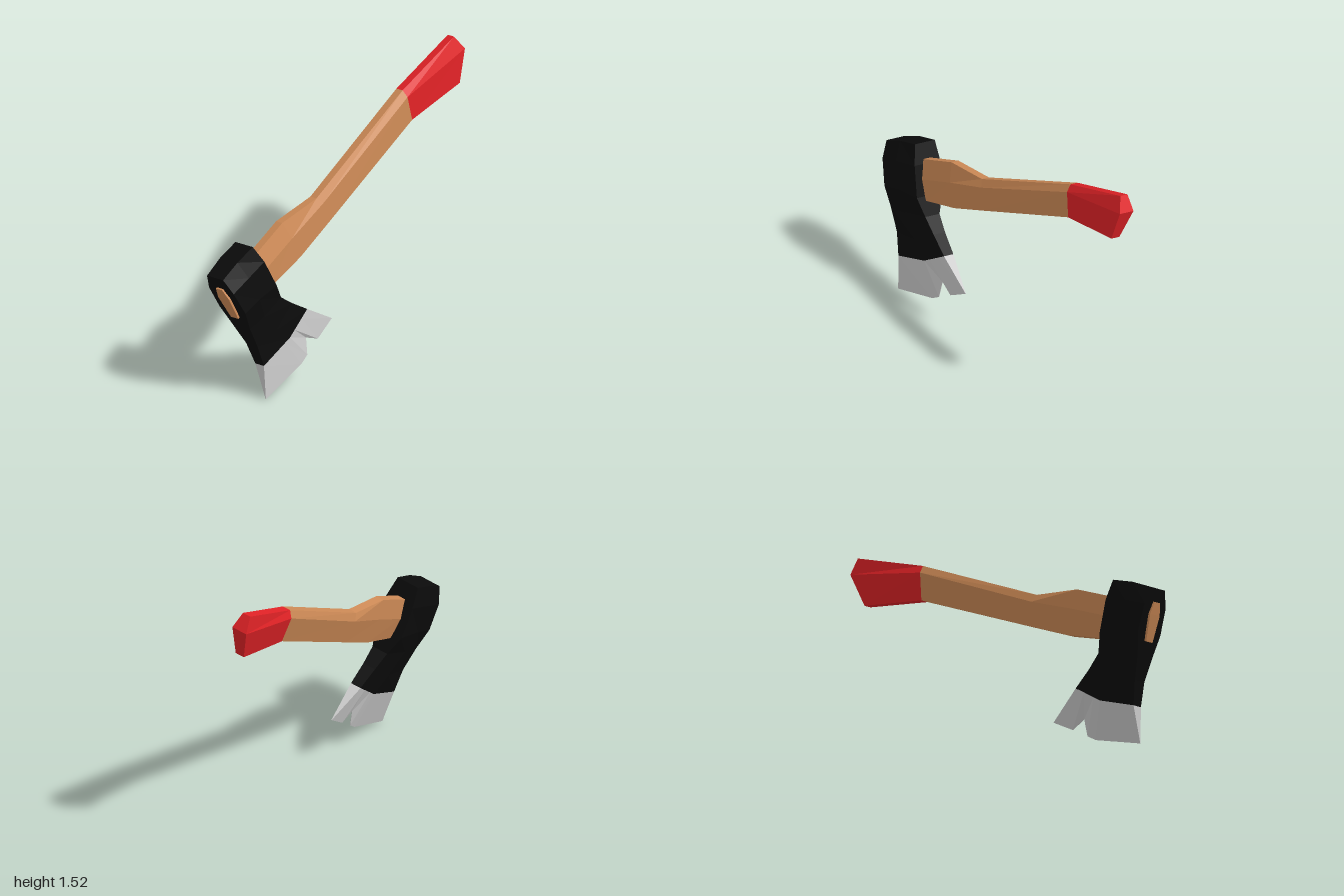
import * as THREE from 'three';

// The tool is laid out flat (x, y, half thickness), then leaned into its resting plane.
const LEAN = new THREE.Matrix4().makeBasis(
  new THREE.Vector3(1, 0, -0.174),
  new THREE.Vector3(0, 1, -0.195),
  new THREE.Vector3(0.174, 0.195, 1).normalize()
).setPosition(0, 0, 0.185);

// Skins stations of columns [x, y, halfThickness] into a closed faceted solid.
function loft(stations) {
  const rings = stations.map(cols => [
    ...cols.map(([x, y, h]) => [x, y, h]),
    ...cols.map(([x, y, h]) => [x, y, -h]).reverse(),
  ]);
  const pos = [];
  const quad = (a, b, c, d) => pos.push(...a, ...b, ...c, ...a, ...c, ...d);
  const n = rings[0].length;
  for (let s = 0; s < rings.length - 1; s++) {
    for (let i = 0; i < n; i++) {
      const j = (i + 1) % n;
      quad(rings[s][i], rings[s + 1][i], rings[s + 1][j], rings[s][j]);
    }
  }
  const first = rings[0], last = rings[rings.length - 1];
  for (let c = 0; c < n / 2 - 1; c++) {
    quad(first[c], first[c + 1], first[n - 2 - c], first[n - 1 - c]);
    quad(last[n - 1 - c], last[n - 2 - c], last[c + 1], last[c]);
  }
  const geo = new THREE.BufferGeometry();
  geo.setAttribute('position', new THREE.Float32BufferAttribute(pos, 3));
  geo.applyMatrix4(LEAN);
  geo.computeVertexNormals();
  return geo;
}

function part(name, color, stations) {
  const mesh = new THREE.Mesh(
    loft(stations),
    new THREE.MeshStandardMaterial({ color, flatShading: true })
  );
  mesh.name = name;
  return mesh;
}

export function createModel() {
  const group = new THREE.Group();
  group.name = 'axe';

  // Handle columns: bottom, widest ridge, top
  const collar = [[0.56, 1.17, 0.03], [0.53, 1.32, 0.048], [0.52, 1.36, 0.025]];
  group.add(part('handle', 0xcd8a56, [
    [[-0.877, 0.55, 0.03], [-0.94, 0.69, 0.045], [-0.967, 0.755, 0.025]],
    [[-0.6, 0.64, 0.03], [-0.65, 0.755, 0.045], [-0.7, 0.855, 0.025]],
    [[-0.37, 0.72, 0.03], [-0.43, 0.855, 0.045], [-0.47, 0.96, 0.025]],
    [[-0.13, 0.835, 0.03], [-0.17, 0.965, 0.045], [-0.2, 1.0, 0.025]],
    collar,
  ]));

  // Flared grip with a pointed butt
  group.add(part('grip', 0xe02226, [
    collar,
    [[0.94, 1.24, 0.028], [0.99, 1.43, 0.048], [0.94, 1.515, 0.025]],
  ]));

  // Head columns: outer edge, middle, inner edge, from the poll to the cheek
  group.add(part('head', 0x0b0b0b, [
    [[-0.985, 0.83, 0.065], [-0.87, 0.89, 0.07], [-0.745, 0.935, 0.07]],
    [[-0.95, 0.74, 0.1], [-0.83, 0.79, 0.105], [-0.69, 0.83, 0.09]],
    [[-0.885, 0.6, 0.105], [-0.77, 0.64, 0.105], [-0.62, 0.66, 0.09]],
    [[-0.835, 0.48, 0.07], [-0.72, 0.51, 0.07], [-0.565, 0.56, 0.05]],
    [[-0.775, 0.35, 0.045], [-0.62, 0.39, 0.05], [-0.48, 0.49, 0.04]],
    [[-0.735, 0.215, 0.035], [-0.52, 0.3, 0.035], [-0.37, 0.41, 0.033]],
  ]));

  // Blade tapering to a notched cutting edge
  group.add(part('blade', 0xcccccc, [
    [[-0.735, 0.215, 0.035], [-0.56, 0.284, 0.035], [-0.52, 0.3, 0.035],
      [-0.48, 0.329, 0.035], [-0.42, 0.373, 0.034], [-0.37, 0.41, 0.033]],
    [[-0.72, 0.003, 0.001], [-0.43, 0.1, 0.001], [-0.38, 0.135, 0.001],
      [-0.375, 0.235, 0.001], [-0.29, 0.195, 0.001], [-0.17, 0.27, 0.001]],
  ]));

  return group;
}
